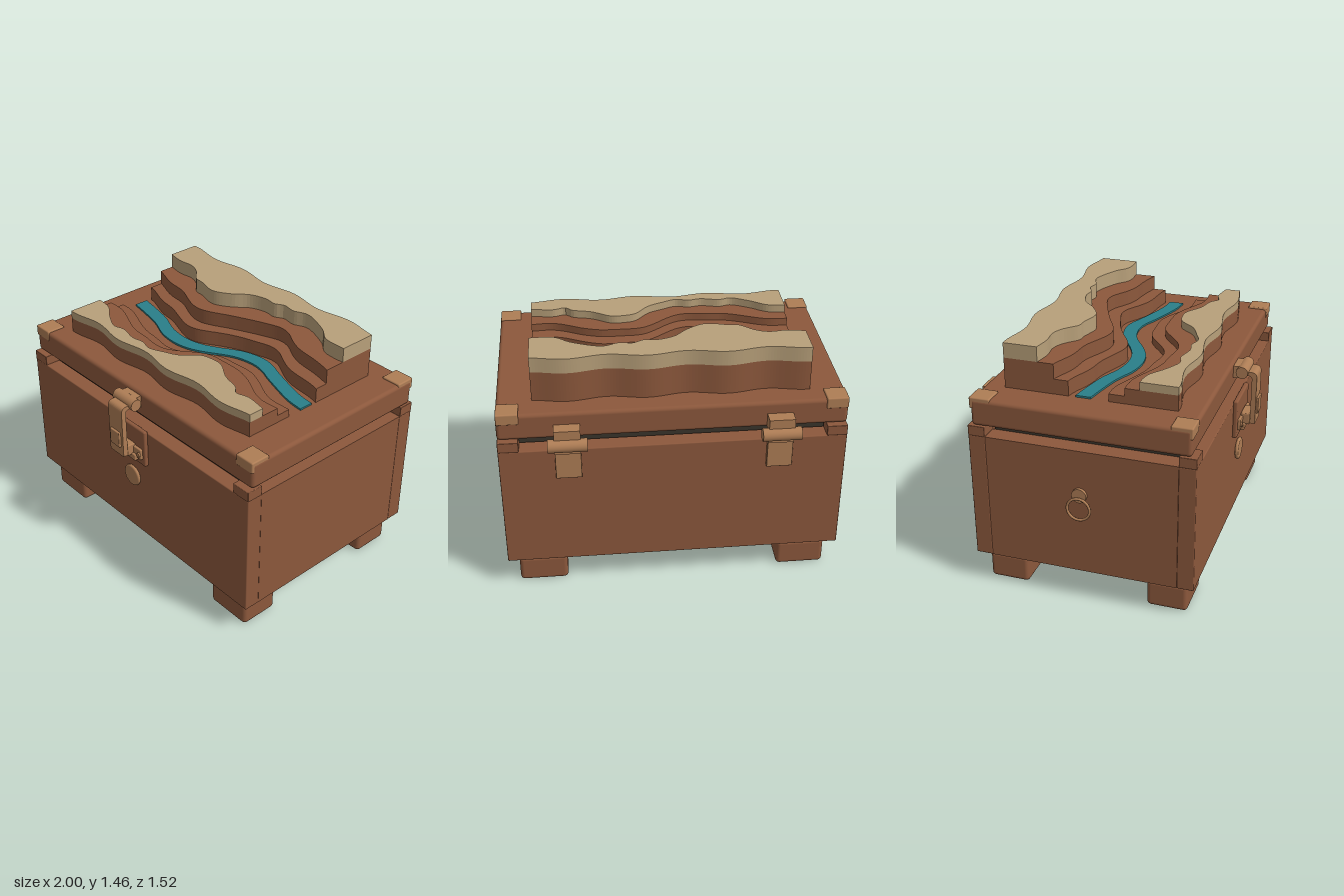
import * as THREE from 'three';
import { RoundedBoxGeometry } from 'three/addons/geometries/RoundedBoxGeometry.js';

const flat = (name, color) => {
  const m = new THREE.MeshStandardMaterial({ color });
  m.name = name;
  return m;
};

export function createModel() {
  const root = new THREE.Group();
  root.name = 'canyonChest';
  const wood = flat('wood', 0x8c583c);
  const dark = flat('darkLining', 0x3a342b);
  const metal = flat('copper', 0xae7d55);
  const sand = flat('sandstone', 0xb8a07a);
  const water = flat('water', 0x2a7f89);
  const CX = 0.015, CZ = -0.021;

  const add = (name, geometry, material) => {
    const mesh = new THREE.Mesh(geometry, material);
    mesh.name = name;
    root.add(mesh);
    return mesh;
  };
  // Box given by its extents, with optional rounded edges
  const box = (name, mat, x0, x1, y0, y1, z0, z1, r = 0) => {
    const s = [x1 - x0, y1 - y0, z1 - z0];
    const g = r ? new RoundedBoxGeometry(...s, 3, r) : new THREE.BoxGeometry(...s);
    g.translate((x0 + x1) / 2, (y0 + y1) / 2, (z0 + z1) / 2);
    return add(name, g, mat);
  };
  const rod = (name, axis, r, len, x, y, z, mat = metal) => {
    const g = new THREE.CylinderGeometry(r, r, len, 28);
    if (axis === 'x') g.rotateZ(Math.PI / 2);
    if (axis === 'z') g.rotateX(Math.PI / 2);
    g.translate(x, y, z);
    return add(name, g, mat);
  };

  // Chest body: front and back walls overlap the side walls
  box('frontWall', wood, -0.967, 0.997, 0.197, 0.965, 0.535, 0.633, 0.006);
  box('backWall', wood, -0.967, 0.997, 0.197, 0.965, -0.676, -0.576, 0.006);
  box('leftWall', wood, 0.89, 0.995, 0.197, 0.965, -0.576, 0.535);
  box('rightWall', wood, -0.965, -0.86, 0.197, 0.965, -0.576, 0.535);
  box('innerCore', dark, -0.855, 0.885, 0.3, 1.02, -0.564, 0.522);
  box('basePlate', dark, -0.888, 0.917, 0.163, 0.3, -0.58, 0.536);

  // Feet and corner blocks at all four corners
  for (const sx of [-1, 1]) for (const sz of [-1, 1]) {
    const span = (c, s, a, b) => (s > 0 ? [c + a, c + b] : [c - b, c - a]);
    box('foot', wood, ...span(CX, sx, 0.634, 0.92), 0, 0.168, ...span(CZ, sz, 0.363, 0.602), 0.025);
    box('cornerBlock', wood, ...span(CX, sx, 0.865, 0.982), 0.963, 1.024, ...span(CZ, sz, 0.556, 0.655), 0.004);
    box('lidCornerCap', metal, ...span(CX, sx, 0.855, 0.98), 1.13, 1.197, ...span(-0.025, sz, 0.512, 0.634), 0.008);
  }

  // Lid
  box('lid', wood, -0.967, 0.997, 1.028, 1.187, -0.652, 0.605, 0.022);

  // Canyon relief: evenly spaced controls, interpolated by a smooth curve
  const X0 = -0.767, X1 = 0.797, N = 96;
  const curveOf = (pts) => {
    const c = new THREE.SplineCurve(pts.map(([x, z]) => new THREE.Vector2(x, z))).getPoints(400);
    return (x) => {
      const i = Math.max(1, c.findIndex((p) => p.x >= x));
      const a = c[i - 1], b = c[i];
      return a.y + (b.y - a.y) * Math.min(1, Math.max(0, (x - a.x) / (b.x - a.x)));
    };
  };
  const river = curveOf([[-0.77, -0.067], [-0.65, -0.045], [-0.5, -0.01], [-0.36, 0.045], [-0.23, 0.062], [-0.12, 0.045],
    [-0.02, 0], [0.13, -0.09], [0.26, -0.12], [0.36, -0.108], [0.46, -0.07], [0.67, -0.002], [0.8, 0.016]]);
  const backRim = curveOf([[-0.77, -0.33], [-0.66, -0.312], [-0.56, -0.32], [-0.48, -0.29], [-0.4, -0.222], [-0.34, -0.215],
    [-0.21, -0.188], [-0.1, -0.245], [-0.02, -0.32], [0.08, -0.355], [0.16, -0.35], [0.22, -0.38], [0.3, -0.37],
    [0.4, -0.4], [0.56, -0.34], [0.66, -0.27], [0.8, -0.265]]);
  const frontRim = curveOf([[-0.77, 0.255], [-0.66, 0.27], [-0.56, 0.335], [-0.45, 0.388], [-0.37, 0.372], [-0.26, 0.395],
    [-0.18, 0.382], [-0.1, 0.4], [-0.02, 0.37], [0.08, 0.32], [0.16, 0.232], [0.24, 0.21], [0.32, 0.215],
    [0.43, 0.28], [0.54, 0.31], [0.59, 0.35], [0.67, 0.33], [0.8, 0.35]]);
  const wave = (x) => 0.016 * Math.cos(14 * x + 4.2);
  const backEdge = (x) => -0.513 - wave(x);
  const frontEdge = (x) => 0.458 + wave(x);
  const shelf = (offset, phase) => (x) => river(x) + offset + 0.012 * Math.sin(17 * x + phase);

  // Slab between two curves z = back(x) and z = front(x)
  const slab = (name, mat, back, front, y0, y1) => {
    const xs = Array.from({ length: N + 1 }, (_, i) => X0 + ((X1 - X0) * i) / N);
    const pts = xs.map((x) => new THREE.Vector2(x, -front(x)));
    xs.reverse().forEach((x) => pts.push(new THREE.Vector2(x, -back(x))));
    const g = new THREE.ExtrudeGeometry(new THREE.Shape(pts), { depth: y1 - y0, bevelEnabled: false });
    g.rotateX(-Math.PI / 2);
    g.translate(0, y0, 0);
    return add(name, g, mat);
  };
  slab('river', water, (x) => river(x) - 0.044, (x) => river(x) + 0.044, 1.185, 1.198);
  slab('backLowerTerrace', wood, backEdge, shelf(-0.073, 5), 1.185, 1.277);
  slab('backMiddleTerrace', wood, backEdge, shelf(-0.157, 5.5), 1.277, 1.366);
  slab('backPlateau', sand, backEdge, backRim, 1.366, 1.455);
  slab('frontLowerTerrace', wood, shelf(0.145, 3.5), frontEdge, 1.185, 1.233);
  slab('frontMiddleTerrace', wood, shelf(0.233, 3.2), frontEdge, 1.233, 1.279);
  slab('frontPlateau', sand, frontRim, frontEdge, 1.279, 1.327);

  // Front latch
  box('latchPlate', metal, -0.134, 0.16, 0.738, 0.98, 0.63, 0.659, 0.01).material = wood;
  box('latchKeeper', metal, -0.078, 0.105, 0.77, 0.81, 0.655, 0.69, 0.006);
  box('latchKeeperBar', metal, -0.115, 0.14, 0.785, 0.855, 0.655, 0.675, 0.006);
  box('latchKeeperBlock', metal, -0.05, 0.075, 0.8, 0.87, 0.66, 0.715, 0.006);
  for (const x of [-0.098, 0.125]) rod('latchScrew', 'z', 0.014, 0.014, x, 0.82, 0.678);
  rod('latchBarrel', 'x', 0.036, 0.172, CX, 1.138, 0.66);
  box('latchLidLeaf', metal, -0.05, 0.075, 1.095, 1.168, 0.6, 0.64);
  const strap = new THREE.Shape();
  strap.moveTo(0.655, 1.14);
  strap.lineTo(0.715, 1.14);
  strap.quadraticCurveTo(0.747, 1.14, 0.747, 1.105);
  strap.lineTo(0.747, 0.81);
  strap.lineTo(0.717, 0.81);
  strap.lineTo(0.717, 1.095);
  strap.quadraticCurveTo(0.717, 1.115, 0.7, 1.115);
  strap.lineTo(0.655, 1.115);
  const strapGeo = new THREE.ExtrudeGeometry(strap, { depth: 0.124, bevelEnabled: false });
  strapGeo.rotateY(-Math.PI / 2);
  strapGeo.translate(0.076, 0, 0);
  add('latchStrap', strapGeo, metal);
  box('latchButton', metal, -0.029, 0.057, 0.87, 0.97, 0.74, 0.76, 0.005);

  // Round lock boss on the front
  rod('lockDisc', 'z', 0.055, 0.026, 0.014, 0.6, 0.642);
  const rim = new THREE.TorusGeometry(0.058, 0.011, 10, 36);
  rim.translate(0.014, 0.6, 0.645);
  add('lockRim', rim, metal);

  // Pull ring on the right wall
  rod('ringBoss', 'x', 0.043, 0.018, -0.974, 0.695, -0.025);
  const ring = new THREE.TorusGeometry(0.066, 0.008, 10, 36);
  ring.rotateY(Math.PI / 2);
  ring.translate(-0.992, 0.617, -0.025);
  add('pullRing', ring, metal);

  // Back hinges
  for (const s of [-1, 1]) {
    const x = CX + s * 0.595;
    rod('hingeBarrel', 'x', 0.038, 0.22, x, 1.022, -0.722);
    box('hingeLidLeaf', metal, x - 0.073, x + 0.073, 1.03, 1.115, -0.727, -0.645);
    box('hingeBodyLeaf', metal, x - 0.073, x + 0.073, 0.79, 0.975, -0.702, -0.67, 0.004);
    box('hingeNeck', metal, x - 0.073, x + 0.073, 0.96, 1.02, -0.716, -0.69);
  }
  return root;
}
